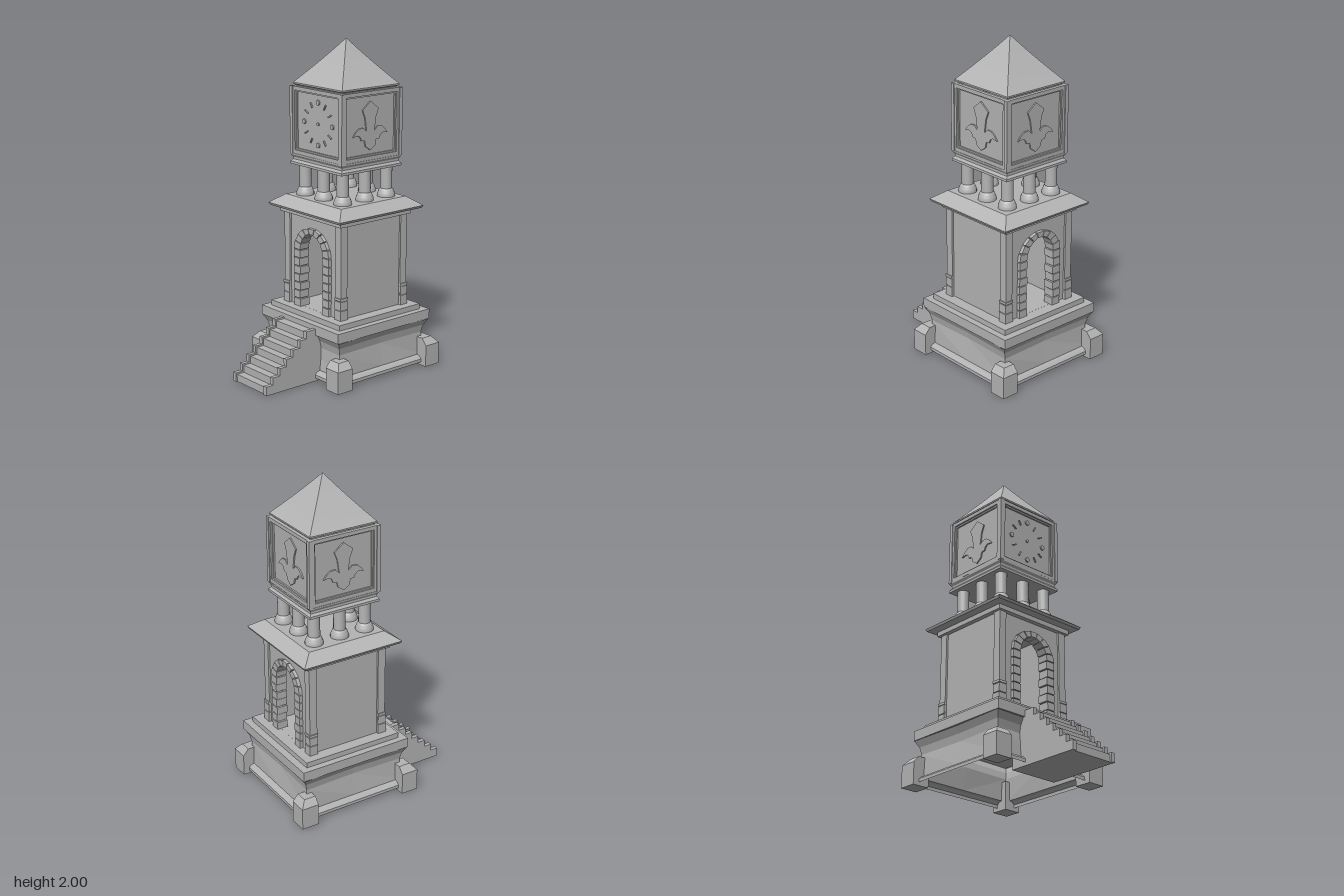
import * as THREE from 'three';
import { toCreasedNormals } from 'three/addons/utils/BufferGeometryUtils.js';

const stone = new THREE.MeshStandardMaterial({ color: 0xb4b4b4, side: THREE.DoubleSide });
stone.name = 'grey stone';

function add(parent, name, geo, x = 0, y = 0, z = 0) {
  const m = new THREE.Mesh(geo, stone);
  m.name = name;
  m.position.set(x, y, z);
  parent.add(m);
  return m;
}

// box given by its bottom height
function box(parent, name, w, h, d, x, y, z) {
  return add(parent, name, new THREE.BoxGeometry(w, h, d), x, y + h / 2, z);
}

// square tier swept through [half width, y] pairs
function tier(parent, name, profile) {
  const pts = profile.map(([h, y]) => new THREE.Vector2(h * Math.SQRT2, y));
  return add(parent, name, toCreasedNormals(new THREE.LatheGeometry(pts, 4, Math.PI / 4), 0.3));
}

// round turned part from [radius, y] pairs
function turned(parent, name, profile, x, y, z) {
  const pts = profile.map(([r, h]) => new THREE.Vector2(r, h));
  return add(parent, name, toCreasedNormals(new THREE.LatheGeometry(pts, 20), 0.6), x, y, z);
}

const extrude = (shape, depth) => new THREE.ExtrudeGeometry(shape, { depth, bevelEnabled: false, curveSegments: 16 });
const polygon = pts => new THREE.Shape(pts.map(p => new THREE.Vector2(...p)));

function base(g) {
  // open hollow shell with a flared top and slightly hollow sides
  const pts = [[0.37, 0.02], [0.37, 0.04], [0.355, 0.055], [0.335, 0.06], [0.33, 0.2], [0.34, 0.245], [0.362, 0.285]];
  const geo = new THREE.LatheGeometry(pts.map(([h, y]) => new THREE.Vector2(h * Math.SQRT2, y)), 8, Math.PI / 4);
  const p = geo.attributes.position;
  for (let i = 0; i < p.count; i++) {
    if (Math.floor(i / pts.length) % 2) {
      const y = p.getY(i), k = Math.SQRT1_2 * (y > 0.1 ? 0.97 : 1);
      p.setXYZ(i, p.getX(i) * k, y, p.getZ(i) * k);
    }
  }
  add(g, 'baseWalls', toCreasedNormals(geo, 0.02));
  box(g, 'baseSlab', 0.725, 0.06, 0.735, 0, 0.287, 0);
  box(g, 'baseStep', 0.645, 0.035, 0.645, 0, 0.345, 0);
  // corner posts with sloped outer top edges
  for (const sx of [-1, 1]) for (const sz of [-1, 1]) {
    const post = new THREE.BoxGeometry(0.11, 0.175, 0.11, 1, 2, 1);
    const q = post.attributes.position;
    for (let i = 0; i < q.count; i++) {
      if (Math.abs(q.getY(i)) < 0.01) q.setY(i, 0.047);
      if (q.getY(i) > 0.08) {
        if (q.getX(i) * sx > 0) q.setX(i, sx * 0.02);
        if (q.getZ(i) * sz > 0) q.setZ(i, sz * 0.02);
      }
    }
    add(g, 'cornerPost', toCreasedNormals(post, 0.2), sx * 0.355, 0.0875, sz * 0.353);
  }
}

// stepped flight, in world z
function stairs(root) {
  const flight = (lift, front) => {
    const pts = [[0.1, 0], [front, 0]];
    for (let i = 0; i < 7; i++) {
      const y = 0.045 + i * 0.045 + lift;
      pts.push([front - i * 0.05, y], [i < 6 ? front - (i + 1) * 0.05 : 0.1, y]);
    }
    return polygon(pts);
  };
  const place = (name, shape, w, x) => {
    add(root, name, extrude(shape, w), x, 0, 0).rotation.y = -Math.PI / 2;
  };
  place('stairTreads', flight(0, 0.563), 0.27, 0.128);
  place('stairSide', flight(0.01, 0.573), 0.026, -0.142);
  place('stairSide', flight(0.01, 0.573), 0.026, 0.154);
}

function chamber(g) {
  const floor = 0.38, spring = 0.735;
  // front and back walls with an arched doorway
  const wall = polygon([[-0.25, floor], [0.25, floor], [0.25, 0.96], [-0.25, 0.96]]);
  const hole = new THREE.Path();
  hole.moveTo(-0.115, floor + 0.0005);
  hole.lineTo(-0.115, spring);
  hole.absellipse(0, spring, 0.115, 0.13, Math.PI, 0, true);
  hole.lineTo(0.115, floor + 0.0005);
  wall.holes.push(hole);
  for (const s of [1, -1]) {
    const face = new THREE.Group();
    face.name = s > 0 ? 'frontDoorway' : 'backDoorway';
    face.rotation.y = s > 0 ? 0 : Math.PI;
    g.add(face);
    add(face, 'archWall', extrude(wall, 0.04), 0, 0, 0.21);
    // jamb stones
    for (let i = 0; i < 7; i++) for (const sx of [-1, 1]) {
      const w = i % 2 ? 0.054 : 0.06;
      box(face, 'jambStone', w, 0.046, 0.07, sx * (0.162 - w / 2), floor + i * 0.051, 0.236);
    }
    // arch stones
    const n = 9;
    for (let i = 0; i < n; i++) {
      const a = (i + 0.05) / n * Math.PI, b = (i + 0.95) / n * Math.PI;
      const at = (t, rx, ry) => [Math.cos(t) * rx, spring + Math.sin(t) * ry];
      const ro = i % 2 ? 0.158 : 0.162;
      const vous = polygon([at(a, 0.105, 0.118), at(a, ro, 0.152), at(b, ro, 0.152), at(b, 0.105, 0.118)]);
      add(face, 'archStone', extrude(vous, 0.07), 0, 0, 0.201);
    }
  }
  // side walls and corner pilasters
  for (const sx of [-1, 1]) {
    box(g, 'sideWall', 0.04, 0.58, 0.5, sx * 0.23, floor, 0);
    for (const sz of [-1, 1]) {
      box(g, 'pilaster', 0.05, 0.58, 0.05, sx * 0.237, floor, sz * 0.237);
      box(g, 'pilasterFoot', 0.056, 0.06, 0.056, sx * 0.24, floor, sz * 0.24);
      box(g, 'pilasterFoot', 0.054, 0.05, 0.054, sx * 0.24, floor + 0.065, sz * 0.24);
      box(g, 'pilasterRing', 0.056, 0.015, 0.056, sx * 0.24, floor + 0.12, sz * 0.24);
    }
  }
  box(g, 'chamberCornice', 0.56, 0.03, 0.56, 0, 0.95, 0);
  tier(g, 'lowerRoof', [[0, 0.978], [0.28, 0.978], [0.325, 0.985], [0.332, 1.0], [0.255, 1.055], [0, 1.055]]);
  // pedestal table inside
  turned(g, 'pedestalTable', [[0.06, 0], [0.06, 0.02], [0.047, 0.032], [0.045, 0.125], [0.05, 0.138],
    [0.088, 0.148], [0.093, 0.163], [0, 0.163]], 0, floor, 0);
}

function belfry(g) {
  // ring of eight columns
  const column = [[0.054, 0], [0.054, 0.015], [0.05, 0.025], [0.046, 0.035], [0.042, 0.045], [0.036, 0.05], [0.036, 0.195]];
  for (let i = -1; i <= 1; i++) for (let k = -1; k <= 1; k++) {
    if (i || k) turned(g, 'column', column, i * 0.172, 1.055, k * 0.172);
  }
  tier(g, 'boxCornice', [[0, 1.243], [0.235, 1.243], [0.235, 1.258], [0.223, 1.272], [0.223, 1.285],
    [0.233, 1.3], [0.233, 1.308], [0, 1.308]]);
}

function clockBox(g) {
  const mid = 1.512;
  box(g, 'clockCore', 0.424, 0.41, 0.424, 0, 1.305, 0);
  const rim = polygon([[-0.222, -0.203], [0.222, -0.203], [0.222, 0.203], [-0.222, 0.203]]);
  const opening = (h, v) => new THREE.Path([[-h, -v], [-h, v], [h, v], [h, -v]].map(p => new THREE.Vector2(...p)));
  rim.holes.push(opening(0.197, 0.18));
  const bead = polygon([[-0.2, -0.183], [0.2, -0.183], [0.2, 0.183], [-0.2, 0.183]]);
  bead.holes.push(opening(0.188, 0.171));

  // leaf emblem, mirrored about its middle
  const half = [[0.062, 0.095], [0.042, 0.045], [0.03, -0.035], [0.055, -0.01], [0.09, -0.013], [0.115, -0.032],
    [0.135, -0.058], [0.1, -0.052], [0.08, -0.062], [0.07, -0.085], [0.045, -0.088], [0.038, -0.122]];
  const emblem = polygon([[0, 0.143], ...half, [0, -0.148], ...half.map(([x, y]) => [-x, y]).reverse()]);

  for (let s = 0; s < 4; s++) {
    const face = new THREE.Group();
    face.name = s ? 'emblemFace' : 'clockFace';
    face.position.y = mid;
    face.rotation.y = s * Math.PI / 2;
    g.add(face);
    add(face, 'frame', extrude(rim, 0.022), 0, 0, 0.21);
    add(face, 'frameBead', extrude(bead, 0.012), 0, 0, 0.21);
    if (s) {
      add(face, 'emblem', extrude(emblem, 0.009), 0, 0, 0.211);
      continue;
    }
    // hour marks: studs at the quarters, bars between
    const disc = (name, r, x, y) => {
      add(face, name, new THREE.CylinderGeometry(r, r, 0.009, 24), x, y, 0.2155).rotation.x = Math.PI / 2;
    };
    disc('clockCentre', 0.009, 0, 0);
    for (let h = 0; h < 12; h++) {
      const a = h * Math.PI / 6, x = Math.sin(a), y = Math.cos(a);
      if (h % 3 === 0) disc('quarterStud', 0.015, x * 0.127, y * 0.127);
      else add(face, 'hourBar', new THREE.BoxGeometry(0.007, 0.032, 0.009), x * 0.122, y * 0.122, 0.2155).rotation.z = -a;
    }
  }
  for (const sx of [-1, 1]) for (const sz of [-1, 1]) {
    box(g, 'cornerStrip', 0.024, 0.41, 0.024, sx * 0.225, 1.305, sz * 0.225);
  }
  // gently hollow pyramid roof
  tier(g, 'spireRoof', [[0.21, 1.71], [0.21, 1.72], [0.222, 1.726], [0.222, 1.735], [0.165, 1.799],
    [0.11, 1.863], [0.055, 1.93], [0, 2]]);
}

export function createModel() {
  const root = new THREE.Group();
  root.name = 'clockTower';
  const tower = new THREE.Group();
  tower.name = 'tower';
  tower.position.set(-0.004, 0, -0.165);
  root.add(tower);
  for (const part of [base, chamber, belfry, clockBox]) part(tower);
  stairs(root);
  return root;
}
